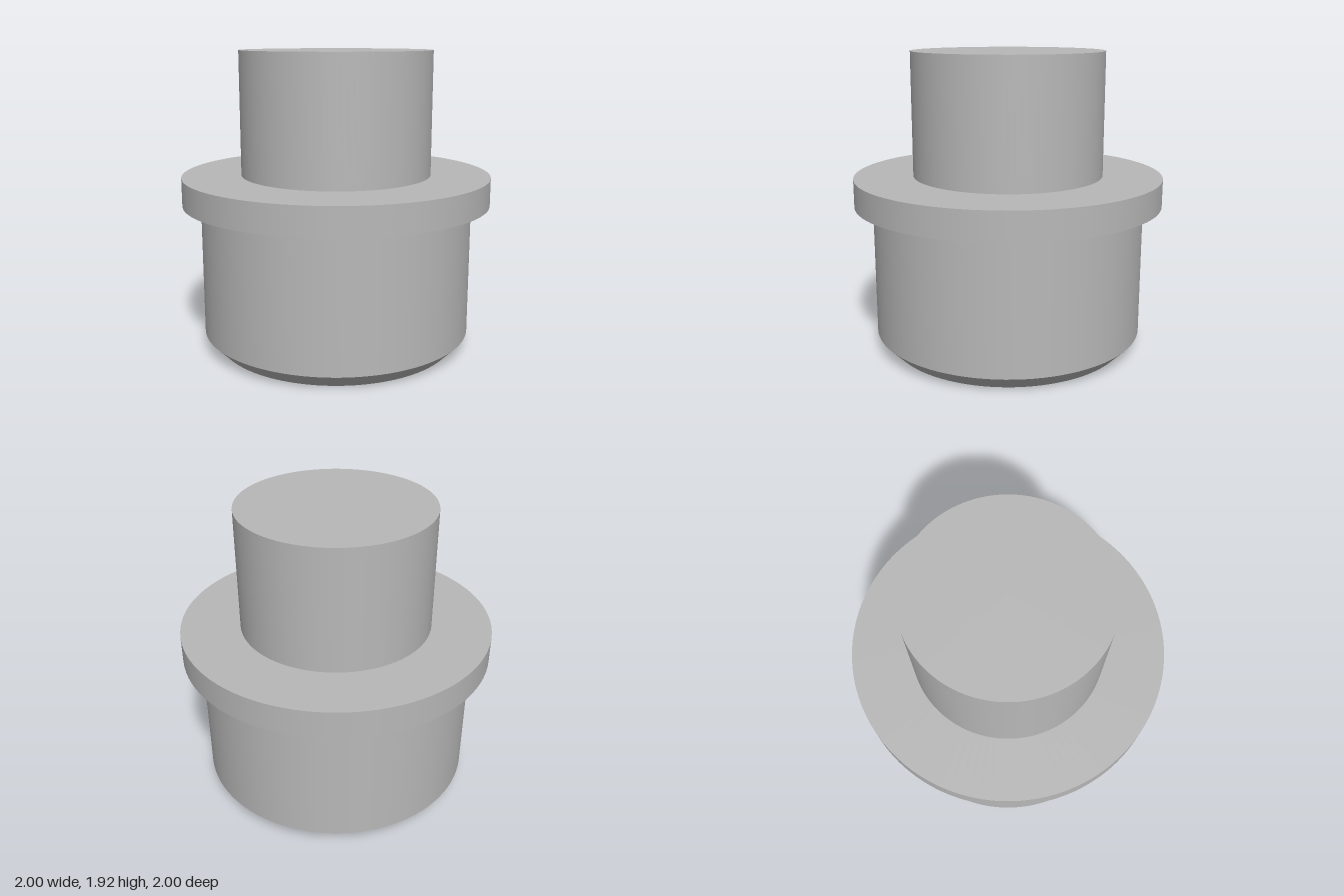
import * as THREE from 'three';
import { mergeGeometries } from 'three/addons/utils/BufferGeometryUtils.js';

// Revolve a profile, each straight run on its own so that corners stay sharp
function turned(profile, segments = 96) {
  const runs = [];
  for (let i = 1; i < profile.length; i++) {
    const pair = [profile[i - 1], profile[i]].map(([r, y]) => new THREE.Vector2(r, y));
    runs.push(new THREE.LatheGeometry(pair, segments));
  }
  return mergeGeometries(runs);
}

export function createModel() {
  const grey = new THREE.MeshStandardMaterial({ color: 0xb8b8b8 });
  grey.name = 'plain grey';
  const model = new THREE.Group();
  model.name = 'flangedPlug';

  const add = (name, geometry) => {
    const mesh = new THREE.Mesh(geometry, grey);
    mesh.name = name;
    model.add(mesh);
    return mesh;
  };

  const baseR = 0.79, bodyR = 0.882, flangeR = 1, neckR = 0.618;
  const holeR = 0.1, holeDepth = 0.07, holeSpacing = 0.31;

  // Wide lower body with its chamfered foot
  add('body', turned([[baseR, 0], [bodyR, 0.095], [bodyR, 0.95]]));

  // Projecting collar
  add('flange', turned([[bodyR, 0.95], [flangeR, 0.95], [flangeR, 1.13], [neckR, 1.13]]));

  // Narrow upper cylinder with closed top
  add('neck', turned([[neckR, 1.13], [neckR, 1.925], [0, 1.925]]));

  // Underside with three blind holes in a row
  const face = new THREE.Shape().absarc(0, 0, baseR, 0, Math.PI * 2);
  for (const i of [-1, 0, 1]) {
    const z = i * holeSpacing;
    face.holes.push(new THREE.Path().absarc(0, z, holeR, 0, Math.PI * 2, true));
    const hole = add('pinHole', turned([[0, holeDepth], [holeR, holeDepth], [holeR, 0]], 48));
    hole.position.z = z;
  }
  add('underside', new THREE.ShapeGeometry(face, 48).rotateX(Math.PI / 2));

  return model;
}
